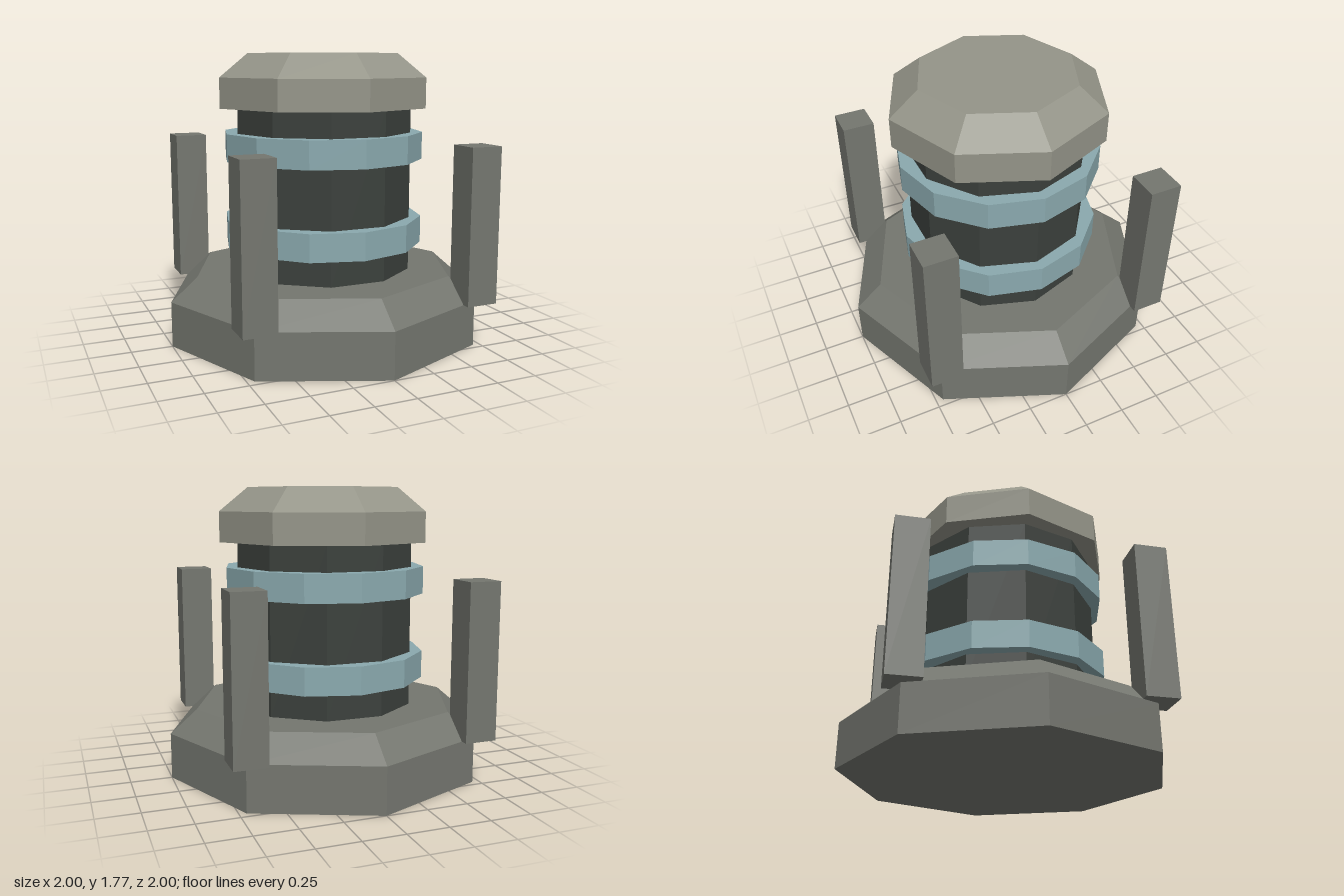
import * as THREE from 'three';

const material = (color) => new THREE.MeshStandardMaterial({ color, flatShading: true });

export function createModel() {
  const model = new THREE.Group();
  model.name = 'reactorPillar';

  const stone = material(0x74766f);
  const capStone = material(0x949488);
  const dark = material(0x3b403c);
  const teal = material(0x8aa9ae);

  // Upright prism between two heights, with a corner on the +x axis
  function prism(name, sides, rBottom, rTop, y0, y1, mat, open = false) {
    const geo = new THREE.CylinderGeometry(rTop, rBottom, y1 - y0, sides, 1, open);
    geo.rotateY(Math.PI / 2);
    geo.translate(0, (y0 + y1) / 2, 0);
    const mesh = new THREE.Mesh(geo, mat);
    mesh.name = name;
    model.add(mesh);
  }

  // Octagonal base with sloped shoulder
  prism('base', 8, 1, 1, 0, 0.28, stone);
  prism('baseShoulder', 8, 1, 0.835, 0.28, 0.42, stone);

  // Ten-sided core with two twelve-sided bands
  prism('core', 10, 0.56, 0.56, 0.42, 1.45, dark);
  prism('lowerBand', 12, 0.63, 0.63, 0.585, 0.755, teal);
  prism('upperBand', 12, 0.63, 0.63, 1.12, 1.29, teal);

  // Octagonal cap with bevelled top
  prism('cap', 8, 0.67, 0.67, 1.445, 1.63, capStone);
  prism('capBevel', 8, 0.67, 0.49, 1.63, 1.775, capStone);

  // Four corner posts
  const postGeo = new THREE.BoxGeometry(0.2, 0.955, 0.2);
  for (const x of [-0.7, 0.7]) {
    for (const z of [-0.7, 0.7]) {
      const post = new THREE.Mesh(postGeo, stone);
      post.name = `${z > 0 ? 'front' : 'back'}${x > 0 ? 'Left' : 'Right'}Post`;
      post.position.set(x, 0.7575, z);
      model.add(post);
    }
  }
  return model;
}
